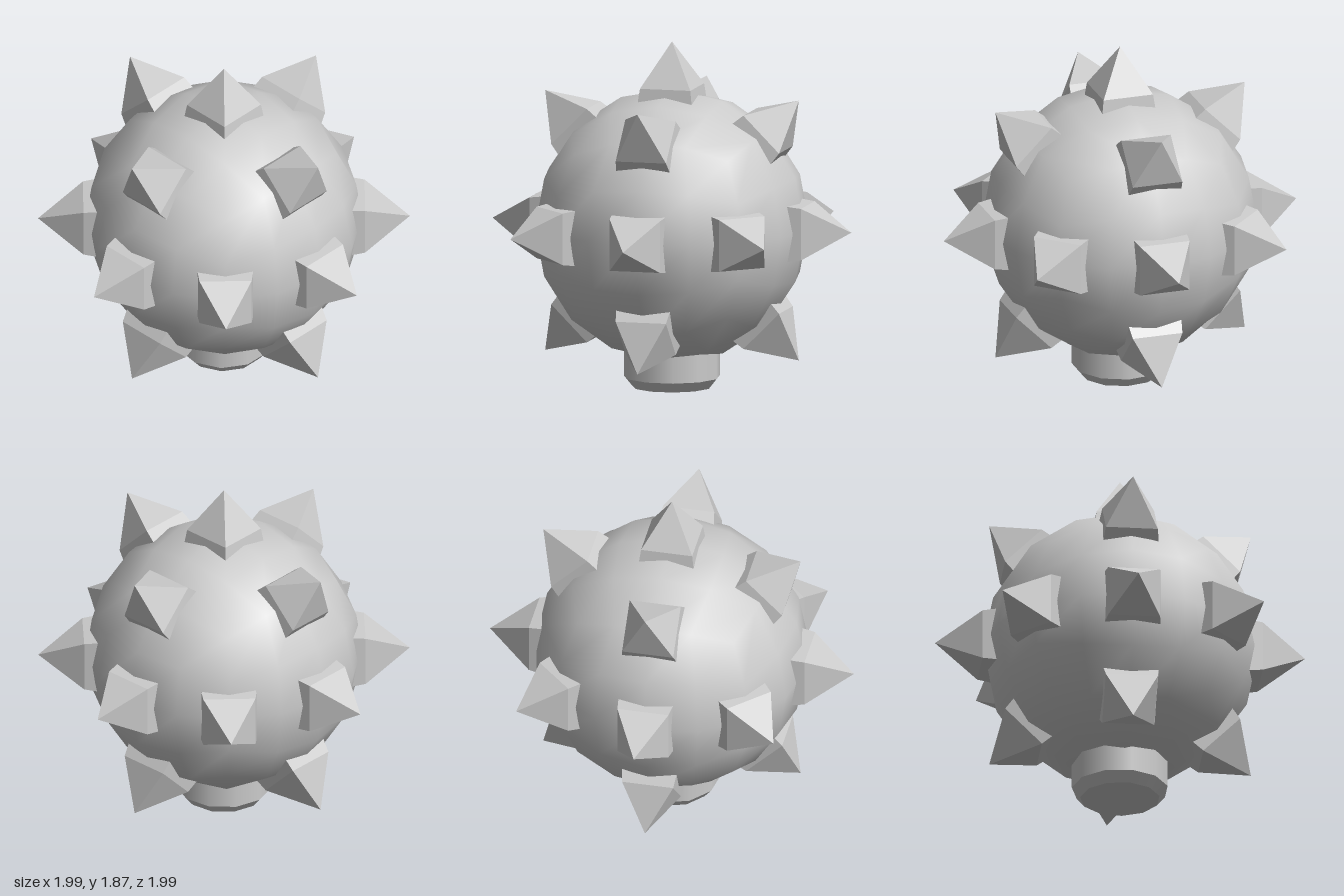
import * as THREE from 'three';

const CENTRE_Y = 0.875;
const BALL_RADIUS = 0.74;

// Box grid wrapped onto a sphere with equal angular steps
function ballGeometry() {
  const geo = new THREE.BoxGeometry(2, 2, 2, 4, 4, 4);
  const pos = geo.attributes.position;
  const v = new THREE.Vector3();
  const warp = (t) => Math.tan((t * Math.PI) / 4);
  for (let i = 0; i < pos.count; i++) {
    v.fromBufferAttribute(pos, i);
    v.set(warp(v.x), warp(v.y), warp(v.z)).normalize();
    geo.attributes.normal.setXYZ(i, v.x, v.y, v.z);
    v.multiplyScalar(BALL_RADIUS);
    pos.setXYZ(i, v.x, v.y, v.z);
  }
  return geo;
}

// Square stud: slightly flared foot topped by a pyramid, measured from the ball centre
function spikeGeometry() {
  const profile = [[0.155, 0.64], [0.14, 0.755], [0, 0.997]]
    .map(([half, r]) => new THREE.Vector2(half * Math.SQRT2, r));
  return new THREE.LatheGeometry(profile, 4, Math.PI / 4);
}

export function createModel() {
  const group = new THREE.Group();
  const smooth = new THREE.MeshStandardMaterial({ color: 0xcccccc });
  const faceted = new THREE.MeshStandardMaterial({ color: 0xcccccc, flatShading: true });
  const add = (name, geo, mat, y) => {
    const mesh = new THREE.Mesh(geo, mat);
    mesh.name = name;
    mesh.position.y = y;
    group.add(mesh);
    return mesh;
  };

  add('ball', ballGeometry(), smooth, CENTRE_Y);

  // Spikes on the axes and the diagonals between them; the collar replaces the bottom one
  const spike = spikeGeometry();
  for (let x = -1; x <= 1; x++)
    for (let y = -1; y <= 1; y++)
      for (let z = -1; z <= 1; z++) {
        const axes = Math.abs(x) + Math.abs(y) + Math.abs(z);
        if (axes < 1 || axes > 2 || (y === -1 && axes === 1)) continue;
        const mesh = add('spike', spike, faceted, CENTRE_Y);
        const up = new THREE.Vector3(x, y, z).normalize();
        // Keep one side of the square foot parallel to the unused axis
        const side = x === 0 ? new THREE.Vector3(1, 0, 0)
          : z === 0 ? new THREE.Vector3(0, 0, 1) : new THREE.Vector3(0, 1, 0);
        const other = new THREE.Vector3().crossVectors(side, up);
        mesh.quaternion.setFromRotationMatrix(new THREE.Matrix4().makeBasis(side, up, other));
      }

  // Eleven-sided collar with a bevelled foot
  const collar = new THREE.CylinderGeometry(0.26, 0.26, 0.2, 11, 1, true).rotateY(Math.PI);
  const bevel = new THREE.CylinderGeometry(0.26, 0.215, 0.055, 11, 1, true).rotateY(Math.PI);
  const base = new THREE.CircleGeometry(0.215, 11).rotateZ(Math.PI / 2).rotateX(Math.PI / 2);
  add('collar', collar, smooth, 0.155);
  add('collarBevel', bevel, smooth, 0.0275);
  // Turn the disc so its corner points to -z like the collar
  add('collarBase', base.rotateY(Math.PI), smooth, 0);

  return group;
}
